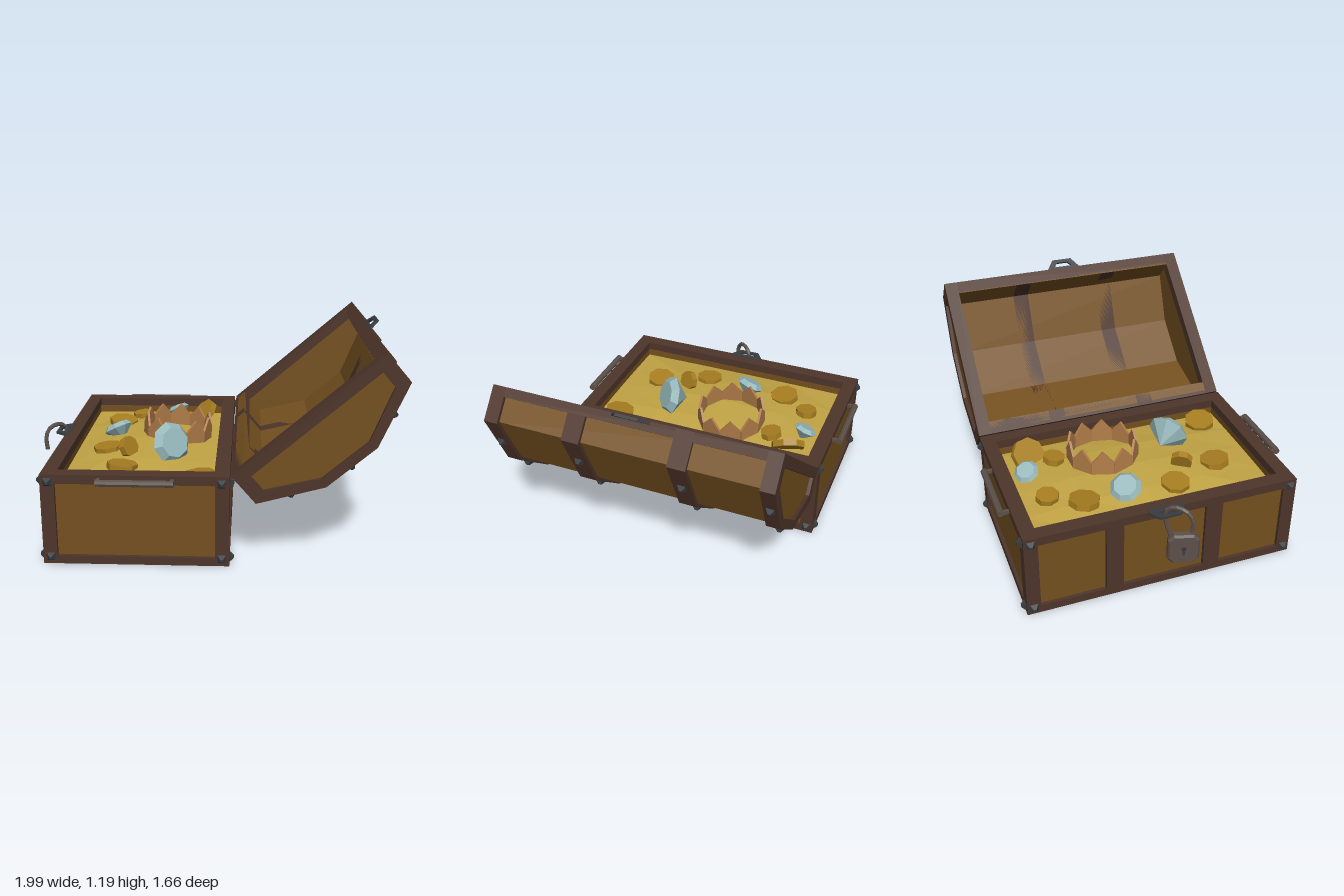
import * as THREE from 'three';

const mat = (color, side = THREE.FrontSide) =>
  new THREE.MeshStandardMaterial({ color, flatShading: true, side });
const WOOD = mat(0x74501f), FRAME = mat(0x4e352a), IRON = mat(0x383d40), LOCK = mat(0x5c504a);
const GOLD = mat(0xc2a445, THREE.DoubleSide), COIN = mat(0xa87e20), GEM = mat(0x96b8bb), COPPER = mat(0xb07c48);
const UP = new THREE.Vector3(0, 1, 0);

function add(parent, name, geo, material, x = 0, y = 0, z = 0) {
  const m = new THREE.Mesh(geo, material);
  m.name = name;
  m.position.set(x, y, z);
  parent.add(m);
  return m;
}

// Box given by its minimum and maximum corners
function block(parent, name, material, x0, x1, y0, y1, z0, z1) {
  return add(parent, name, new THREE.BoxGeometry(x1 - x0, y1 - y0, z1 - z0), material,
    (x0 + x1) / 2, (y0 + y1) / 2, (z0 + z1) / 2);
}

const shapeOf = pts => new THREE.Shape(pts.map(p => new THREE.Vector2(p[0], p[1])));
const extrude = (shape, depth) => new THREE.ExtrudeGeometry(shape, { depth, bevelEnabled: false });
const aim = (mesh, x, y, z) => mesh.quaternion.setFromUnitVectors(UP, new THREE.Vector3(x, y, z).normalize());

// Four-sided iron stud pointing along a normal
const studGeo = new THREE.CylinderGeometry(0.01, 0.034, 0.026, 4).rotateY(Math.PI / 4);
function stud(parent, x, y, z, nx, ny, nz) {
  aim(add(parent, 'stud', studGeo, IRON, x + nx * 0.01, y + ny * 0.01, z + nz * 0.01), nx, ny, nz);
}

// Flat trapezoid loop that sticks out along +x
function hasp(parent, x, y, z) {
  const s = shapeOf([[-0.1, -0.02], [0.1, -0.02], [0.1, 0.005], [0.06, 0.062], [-0.06, 0.062], [-0.1, 0.005]]);
  s.holes.push(shapeOf([[-0.055, 0.012], [-0.035, 0.04], [0.035, 0.04], [0.055, 0.012]]));
  const basis = new THREE.Matrix4().makeBasis(
    new THREE.Vector3(0, 0, 1), new THREE.Vector3(1, 0, 0), new THREE.Vector3(0, 1, 0));
  return add(parent, 'hasp', extrude(s, 0.014).applyMatrix4(basis), IRON, x, y, z);
}

const X0 = -0.87, X1 = 0.11, Z = 0.765, H = 0.5, T = 0.075;

function buildBase() {
  const g = new THREE.Group();
  g.name = 'base';
  block(g, 'floor', FRAME, X0, X1, 0, 0.045, -Z, Z);
  // recessed wall panels
  for (const s of [-1, 1]) {
    const a = s * (Z - 0.02), b = s * (Z - T);
    block(g, 'endPanel', WOOD, X0 + 0.02, X1 - 0.02, 0.03, 0.47, Math.min(a, b), Math.max(a, b));
  }
  block(g, 'sidePanel', WOOD, X0 + 0.02, X0 + T, 0.03, 0.47, -Z + T, Z - T);
  block(g, 'sidePanel', WOOD, X1 - T, X1 - 0.02, 0.03, 0.47, -Z + T, Z - T);
  // top rim
  block(g, 'rim', FRAME, X0, X0 + 0.08, 0.45, H, -Z, Z);
  block(g, 'rim', FRAME, X1 - 0.08, X1, 0.45, H, -Z, Z);
  block(g, 'rim', FRAME, X0 + 0.08, X1 - 0.08, 0.45, H, -Z, -Z + 0.08);
  block(g, 'rim', FRAME, X0 + 0.08, X1 - 0.08, 0.45, H, Z - 0.08, Z);
  // corner posts, middle posts and corner studs
  for (const [xa, side] of [[X0, -1], [X1 - T, 1]]) {
    for (const za of [-Z, Z - T]) block(g, 'cornerPost', FRAME, xa, xa + T, 0.045, 0.45, za, za + T);
    const xm = side < 0 ? X0 : X1 - 0.05;
    for (const zm of [-0.28, 0.28]) block(g, 'middlePost', FRAME, xm, xm + 0.05, 0.045, 0.45, zm - 0.048, zm + 0.048);
    for (const y of [0.04, 0.46]) for (const s of [-1, 1]) {
      stud(g, side < 0 ? X0 : X1, y, s * (Z - 0.037), side, 0, 0);
      stud(g, side < 0 ? X0 + 0.04 : X1 - 0.04, y, s * Z, 0, 0, s);
    }
  }
  // carrying handles
  for (const s of [-1, 1]) {
    const h = new THREE.Group();
    h.name = 'handle';
    add(h, 'grip', new THREE.CylinderGeometry(0.019, 0.019, 0.4, 8).rotateZ(Math.PI / 2), LOCK, 0, 0, 0.045);
    for (const x of [-0.19, 0.19]) add(h, 'handleArm', new THREE.BoxGeometry(0.018, 0.02, 0.06), LOCK, x, 0, 0.02);
    h.position.set(-0.385 + s * 0.012, 0.475, s * Z);
    if (s < 0) h.rotation.y = Math.PI;
    g.add(h);
  }
  hasp(g, X0, 0.488, 0).rotation.y = Math.PI;
  return g;
}

function buildLid() {
  const g = new THREE.Group();
  g.name = 'lid';
  const W = 0.993;
  const profile = (e, d1, m, d2, top = 0) =>
    [[e, -top], [e, -d1], [m, -d2], [W - m, -d2], [W - e, -d1], [W - e, -top]];
  const outer = profile(0, 0.19, 0.332, 0.35), recessed = profile(0.02, 0.178, 0.336, 0.33);
  const cavity = profile(T, 0.16, 0.345, 0.3);
  const shell = outline => shapeOf([...outline, ...[...cavity].reverse()]);
  // panels and raised bands
  add(g, 'lidPanels', extrude(shell(recessed), 2 * (Z - T)), WOOD, 0, 0, -Z + T);
  for (const z of [-0.28, 0.28]) add(g, 'lidBand', extrude(shell(outer), 0.096), FRAME, 0, 0, z - 0.048);
  // rim beams
  for (const x of [0, W - T]) block(g, 'lidRim', FRAME, x, x + T, -0.05, 0, -Z + T, Z - T);
  // framed ends
  const hole = profile(T, 0.16, 0.345, 0.3, 0.06);
  const ring = shapeOf(outer);
  ring.holes.push(shapeOf(hole));
  for (const s of [-1, 1]) {
    add(g, 'lidEndFrame', extrude(ring, T), FRAME, 0, 0, s > 0 ? Z - T : -Z);
    add(g, 'lidEndPanel', extrude(shapeOf(hole), T - 0.02), WOOD, 0, 0, s > 0 ? Z - T : -Z + 0.02);
  }
  // studs at the middle of each outer face
  for (let i = 1; i < 4; i++) {
    const [a, b] = [outer[i], outer[i + 1]];
    const n = new THREE.Vector2(b[1] - a[1], a[0] - b[0]).normalize();
    for (const z of [-0.728, -0.28, 0.28, 0.728])
      stud(g, (a[0] + b[0]) / 2, (a[1] + b[1]) / 2, z, n.x, n.y, 0);
  }
  hasp(g, W, -0.016, 0);
  g.position.set(0.12, H, 0);
  g.rotation.z = 0.714;
  return g;
}

function buildPadlock() {
  const g = new THREE.Group();
  g.name = 'padlock';
  const body = new THREE.Group();
  body.name = 'lockBody';
  const s = shapeOf([[-0.05, -0.08], [0.05, -0.08], [0.075, -0.055], [0.075, 0.06], [0.05, 0.085], [-0.05, 0.085], [-0.075, 0.06], [-0.075, -0.055]]);
  const geo = new THREE.ExtrudeGeometry(s, { depth: 0.03, bevelThickness: 0.012, bevelSize: 0.01, bevelSegments: 1 });
  add(body, 'lockCase', geo.translate(0, 0, -0.015).rotateY(-Math.PI / 2), LOCK);
  add(body, 'keyhole', new THREE.CylinderGeometry(0.014, 0.014, 0.006, 8).rotateZ(Math.PI / 2), IRON, -0.027, 0.01, 0);
  add(body, 'keyholeSlot', new THREE.BoxGeometry(0.006, 0.04, 0.012), IRON, -0.027, -0.01, 0);
  body.position.set(-0.925, 0.26, 0.08);
  body.rotation.y = -0.28;
  g.add(body);
  // open shackle
  const path = new THREE.CatmullRomCurve3([[-0.9, 0.33, 0.02], [-0.885, 0.45, -0.01], [-0.893, 0.515, -0.005], [-0.93, 0.54, 0.035],
    [-0.972, 0.52, 0.08], [-0.985, 0.47, 0.1], [-0.98, 0.41, 0.1]].map(p => new THREE.Vector3(...p)));
  add(g, 'shackle', new THREE.TubeGeometry(path, 14, 0.013, 6), LOCK);
  const tip = add(g, 'shackleTip', new THREE.CylinderGeometry(0.013, 0.013, 0.01, 6), LOCK, -0.98, 0.41, 0.1);
  tip.rotation.z = 0.08;
  return g;
}

function buildTreasure() {
  const g = new THREE.Group();
  g.name = 'treasure';
  // gold heap, raised in the middle
  const heap = new THREE.PlaneGeometry(0.83, 1.38, 4, 4).rotateX(-Math.PI / 2);
  const p = heap.attributes.position;
  for (let i = 0; i < p.count; i++)
    p.setY(i, 0.4 + 0.06 * Math.cos(p.getX(i) * 3.6) * Math.cos(p.getZ(i) * 2.1));
  add(g, 'goldHeap', heap, GOLD, -0.38, 0, 0);
  // coins: x, y, z, radius, axis
  const coins = [
    [-0.59, 0.44, -0.355, 0.088, 0.1, 1, 0.1], [-0.485, 0.435, -0.53, 0.065, -0.1, 1, 0],
    [-0.17, 0.45, -0.4, 0.064, 0, 1, 0.15], [-0.09, 0.45, -0.53, 0.1, -0.8, 0.8, 0.3],
    [-0.61, 0.44, 0.165, 0.082, -0.1, 1, 0], [-0.475, 0.48, 0.26, 0.062, 0.85, 0.35, 0.5],
    [-0.485, 0.44, 0.46, 0.086, 0.1, 1, -0.1], [-0.065, 0.43, 0.56, 0.09, -0.15, 1, -0.1]];
  for (const [x, y, z, r, ...n] of coins)
    aim(add(g, 'coin', new THREE.CylinderGeometry(r, r, 0.038, 8), COIN, x, y, z), ...n);
  // cut gems: x, y, z, radius, direction of the flat top
  const cut = [[0, -0.9], [1, 0], [0.72, 0.32], [0, 0.32]].map(q => new THREE.Vector2(...q));
  const gems = [[-0.23, 0.515, 0.28, 0.122, 0.55, 0.3, 0.62],
    [-0.59, 0.47, -0.12, 0.09, -0.4, 0.85, -0.3], [-0.26, 0.46, -0.585, 0.072, -0.35, 0.85, -0.3]];
  for (const [x, y, z, r, ...n] of gems)
    aim(add(g, 'gem', new THREE.LatheGeometry(cut, 8).scale(r, r, r), GEM, x, y, z), ...n);
  // crown of pointed plates
  const crown = new THREE.Group();
  crown.name = 'crown';
  const N = 10, R = 0.19, w = R * Math.tan(Math.PI / N);
  const plate = extrude(shapeOf([[-w, 0], [w, 0], [w, 0.09], [0, 0.16], [-w, 0.09]]), 0.014).translate(0, 0, R - 0.007);
  for (let i = 0; i < N; i++) add(crown, 'crownPlate', plate, COPPER).rotation.y = (i * 2 * Math.PI) / N;
  crown.position.set(-0.23, 0.415, -0.125);
  crown.rotation.z = -0.08;
  g.add(crown);
  return g;
}

export function createModel() {
  const chest = new THREE.Group();
  chest.name = 'treasureChest';
  chest.add(buildBase(), buildLid(), buildPadlock(), buildTreasure());
  return chest;
}
